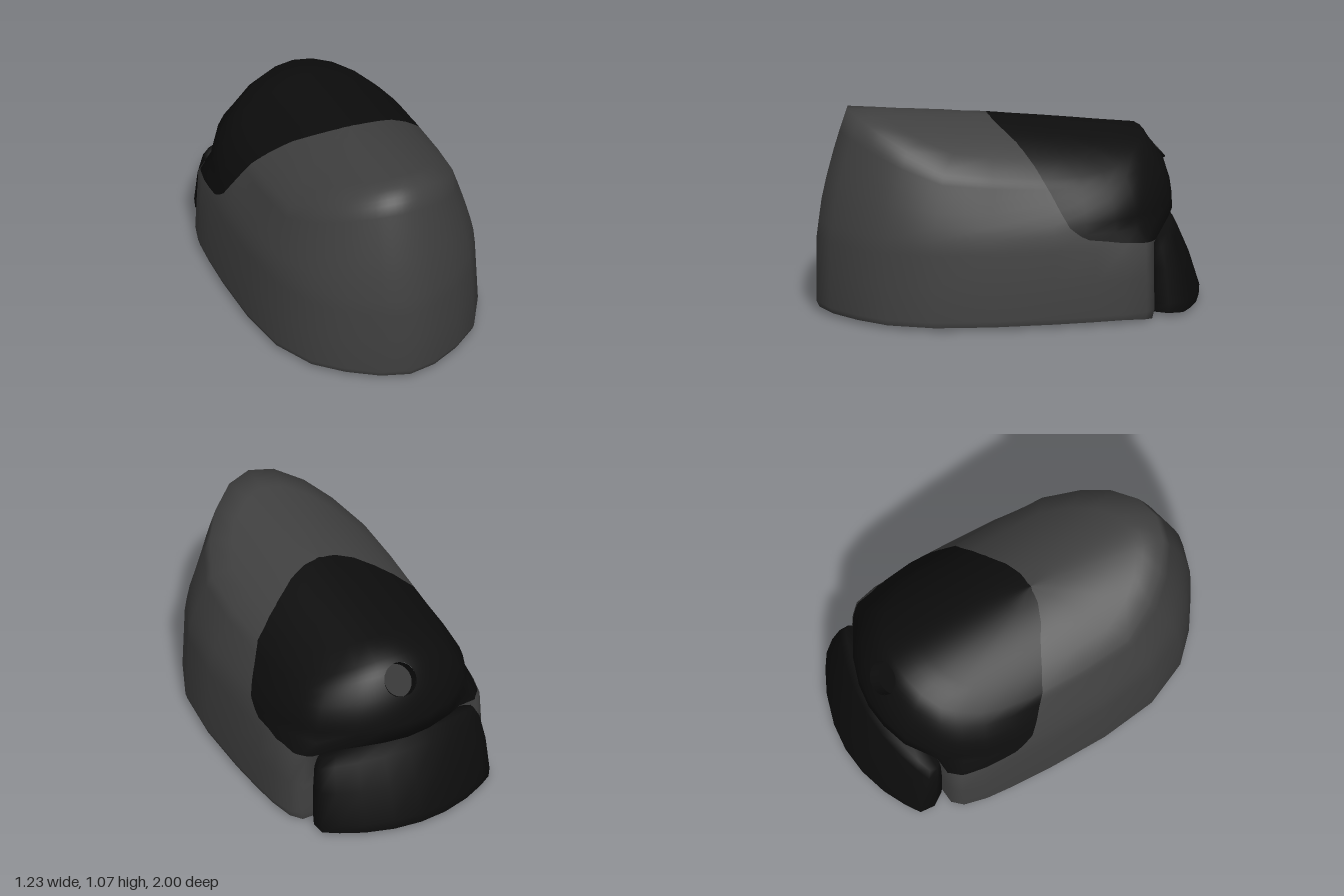
import * as THREE from 'three';

const grey = new THREE.MeshStandardMaterial({ color: 0x404040 });
grey.name = 'charcoal grey';
const black = new THREE.MeshStandardMaterial({ color: 0x0d0d0d, side: THREE.DoubleSide });
black.name = 'soft black';

const V = (x, y, z) => new THREE.Vector3(x, y, z);
const lerp = THREE.MathUtils.lerp;

// Half outlines [x, z], from the front round the left side to the back
const BASE = [[0, 1], [.15, .96], [.31, .86], [.45, .73], [.56, .5], [.605, .2], [.615, -.13],
  [.61, -.35], [.6, -.5], [.57, -.62], [.52, -.67], [.4, -.68], [.2, -.68], [0, -.68]];
const WAIST = [[0, .99], [.145, .95], [.3, .85], [.43, .72], [.535, .5], [.575, .2], [.58, -.13],
  [.575, -.3], [.55, -.46], [.5, -.58], [.44, -.68], [.27, -.8], [.13, -.845], [0, -.86]];
const RIM = [[0, .84], [.13, .81], [.26, .72], [.36, .6], [.45, .42], [.465, .17], [.46, -.13],
  [.44, -.3], [.41, -.42], [.36, -.52], [.3, -.6], [.2, -.66], [.1, -.69], [0, -.7]];
const TAIL = [[0, -.66], [.3, -.66], [.45, -.68], [.5, -.75], [.495, -.83], [.42, -.88],
  [.3, -.94], [.15, -.985], [0, -1]];
// Lower edge of the black cover as [z, y]
const SEAM = [[-1, .41], [-.65, .41], [-.5, .425], [-.3, .455], [-.22, .51], [-.15, .64],
  [-.1, .76], [0, .91], [.1, 1], [.2, 1.3], [1, 4]];

// Height of the arched top
const topY = (x, z) => (z > .1 ? .99 + .093 * z : 1 + .125 * (z - .1)) - x * x;

function seamY(z) {
  let i = 1;
  while (i < SEAM.length - 1 && z > SEAM[i][0]) i++;
  const [a, b] = [SEAM[i - 1], SEAM[i]];
  return lerp(a[1], b[1], (z - a[0]) / (b[0] - a[0]));
}

// Close a half ring by mirroring it across x = 0
const ring = (half, fn) => {
  const right = half.map((p, i) => fn(p[0], p[1], i));
  return [...right, ...right.slice(1, -1).reverse().map(p => V(-p.x, p.y, p.z))];
};

// Skin a stack of equal rings with smooth normals
function loft(rings) {
  const n = rings[0].length, index = [];
  for (let j = 0; j < rings.length - 1; j++) for (let i = 0; i < n; i++) {
    const a = j * n + i, b = j * n + (i + 1) % n;
    index.push(a, b, b + n, a, b + n, a + n);
  }
  const g = new THREE.BufferGeometry().setFromPoints(rings.flat());
  g.setIndex(index);
  g.computeVertexNormals();
  return g;
}

const mix = (a, b, t) => ({ p: a.p.clone().lerp(b.p, t), n: a.n.clone().lerp(b.n, t) });

// Subdivide a geometry into small triangles of {p, n} corners
function triangles(geo, levels) {
  const { position, normal } = geo.attributes, idx = geo.index.array;
  const at = i => ({ p: V().fromBufferAttribute(position, i), n: V().fromBufferAttribute(normal, i) });
  let tris = [];
  for (let i = 0; i < idx.length; i += 3) tris.push([at(idx[i]), at(idx[i + 1]), at(idx[i + 2])]);
  for (let l = 0; l < levels; l++) tris = tris.flatMap(([a, b, c]) => {
    const ab = mix(a, b, .5), bc = mix(b, c, .5), ca = mix(c, a, .5);
    return [[a, ab, ca], [ab, b, bc], [ca, bc, c], [ab, bc, ca]];
  });
  return tris;
}

// Keep the part of each triangle where side(p) is positive
function clip(tris, side) {
  return tris.flatMap(tri => {
    const out = [];
    tri.forEach((a, i) => {
      const b = tri[(i + 1) % 3], sa = side(a.p), sb = side(b.p);
      if (sa >= 0) out.push(a);
      if (sa >= 0 !== sb >= 0) out.push(mix(a, b, sa / (sa - sb)));
    });
    return out.slice(2).map((c, i) => [out[0], out[i + 1], c]);
  });
}

function fromTriangles(tris) {
  const corners = tris.flat(), g = new THREE.BufferGeometry();
  g.setFromPoints(corners.map(c => c.p));
  g.setAttribute('normal', new THREE.Float32BufferAttribute(
    corners.flatMap(c => c.n.normalize().toArray()), 3));
  return g;
}

function bodyGeometry() {
  const dip = { 9: .01, 10: 0, 11: .01 };
  const foot = () => ring(BASE, (x, z, i) => V(x * .985, dip[i] ?? .02, z * .985));
  const rings = [ring(BASE, () => V(0, .02, .1)), foot(), foot()];
  // Nearly upright lower wall
  for (const [y, k] of [[.05, 1], [.23, .985], [.4, .97]])
    rings.push(ring(BASE, (x, z) => V(x * k, y, z)));
  // Upper wall leaning in to the rim
  for (const t of [0, .2, .4, .6, .8, 1])
    rings.push(ring(WAIST, (x, z, i) => {
      const [rx, rz] = RIM[i], q = t ** (1 + (z > 0 ? .4 * z : -2 * z));
      return V(lerp(x, rx, q), lerp(.48, topY(rx, rz), t), lerp(z, rz, q));
    }));
  // Arched top
  for (const s of [.8, .6, .4, .2, 0])
    rings.push(ring(RIM, (x, z) => V(x * s, topY(x * s, lerp(.1, z, s)), lerp(.1, z, s))));
  return loft(rings);
}

function tailGeometry() {
  const section = (y, q, k) => ring(TAIL, (x, z) => V(x * k,
    y > .3 ? y * (1 - .4 * (z + .83)) - .02 : y, lerp(z, -.66, q)));
  const bottom = () => section(.018, .01, .99);
  return loft([
    ring(TAIL, () => V(0, .018, -.8)), bottom(), bottom(),
    section(.07, 0, 1), section(.25, .17, .985), section(.4, .37, .95), section(.45, .48, .9),
    ring(TAIL, () => V(0, .45, -.72)),
  ]);
}

export function createModel() {
  const group = new THREE.Group();
  const add = (name, geometry, material, parent = group) => {
    const mesh = new THREE.Mesh(geometry, material);
    mesh.name = name;
    parent.add(mesh);
    return mesh;
  };

  // Shell and cover share one surface, parted along the seam
  const skin = triangles(bodyGeometry(), 2);
  const cover = p => p.y - seamY(p.z);
  const axis = V(0, .66, -.75).normalize(), centre = V(0, .795, -.775), radius = .09;
  const outsideHole = p => {
    const d = p.clone().sub(centre);
    return d.addScaledVector(axis, -d.dot(axis)).length() - radius;
  };
  add('shell', fromTriangles(clip(skin, p => -cover(p))), grey);
  const upper = clip(skin, cover);
  const near = tri => tri[0].p.distanceTo(centre) < .25;
  add('upperCover', fromTriangles([
    ...upper.filter(t => !near(t)), ...clip(upper.filter(near), outsideHole)]), black);

  // Round recess in the sloping back of the cover
  const recess = new THREE.Group();
  recess.name = 'recess';
  recess.position.copy(centre);
  recess.quaternion.setFromUnitVectors(V(0, 1, 0), axis);
  group.add(recess);
  add('recessWall', new THREE.CylinderGeometry(radius, radius, .08, 32, 1, true), black, recess)
    .position.y = -.04;
  const floor = add('recessFloor', new THREE.CircleGeometry(radius, 32), black, recess);
  floor.rotation.x = -Math.PI / 2;
  floor.position.y = -.07;

  // Flared cover at the lower back
  add('lowerCover', tailGeometry(), black);
  return group;
}
